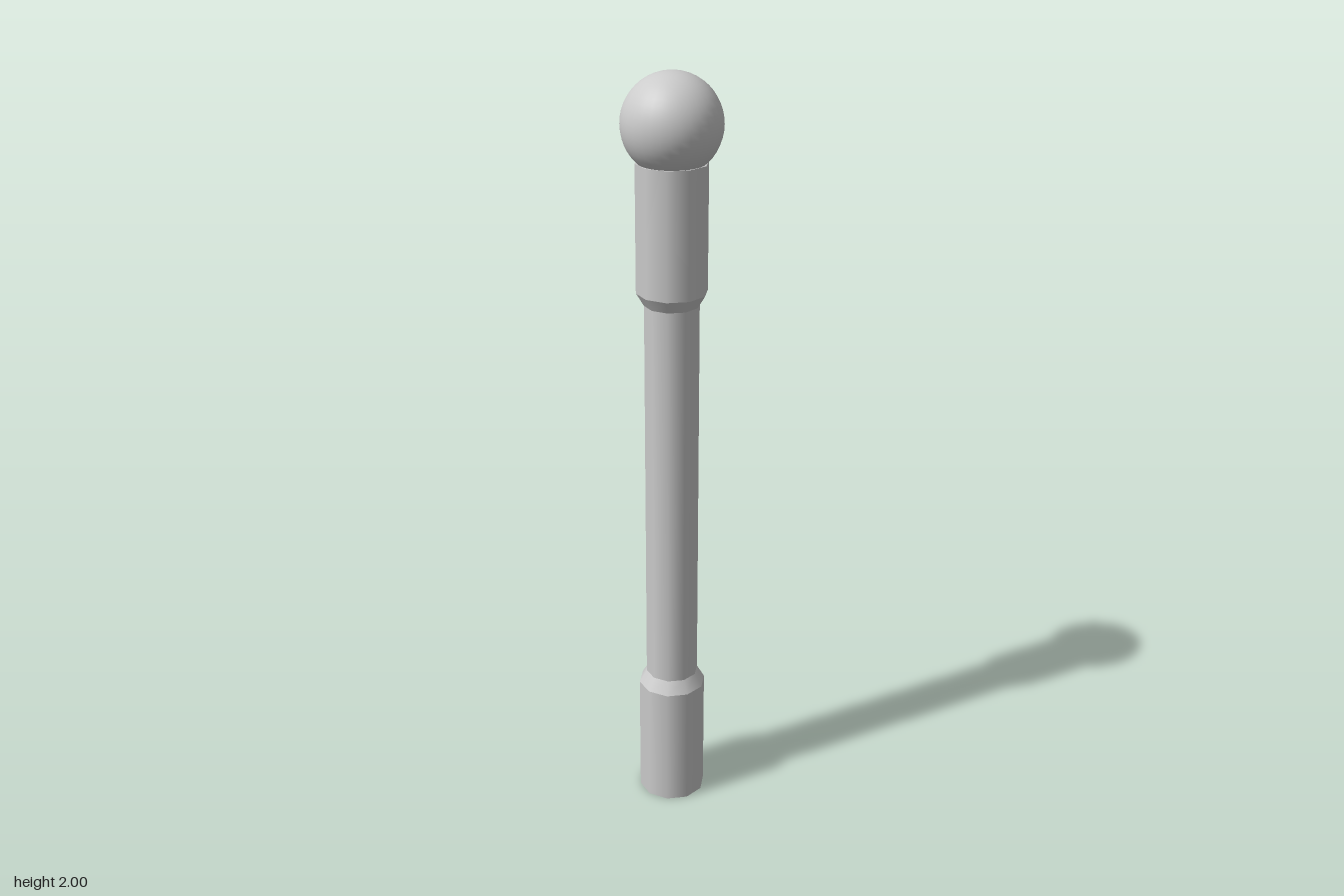
import * as THREE from 'three';

const SIDES = 10;

export function createModel() {
  const group = new THREE.Group();
  const material = new THREE.MeshStandardMaterial({ color: 0xcccccc });

  const add = (name, geometry, y) => {
    const mesh = new THREE.Mesh(geometry, material);
    mesh.name = name;
    mesh.position.y = y;
    group.add(mesh);
  };

  // Ten-sided section between two heights, with a corner on the x axis
  const section = (name, y0, y1, r0, r1, open) => {
    const geometry = new THREE.CylinderGeometry(r1, r0, y1 - y0, SIDES, 1, open);
    geometry.rotateY(Math.PI / 2);
    add(name, geometry, (y0 + y1) / 2);
  };

  const thick = 0.09, thin = 0.07;
  section('baseSleeve', 0, 0.34, thick, thick, false);
  section('lowerTaper', 0.34, 0.375, thick, thin, true);
  section('shaft', 0.375, 1.43, thin, thin, true);
  section('upperTaper', 1.43, 1.463, thin, thick, true);
  section('topSleeve', 1.463, 1.785, thick, thick, false);

  // Ball resting in the top sleeve
  add('ballKnob', new THREE.SphereGeometry(0.124, 32, 24), 1.876);

  return group;
}
